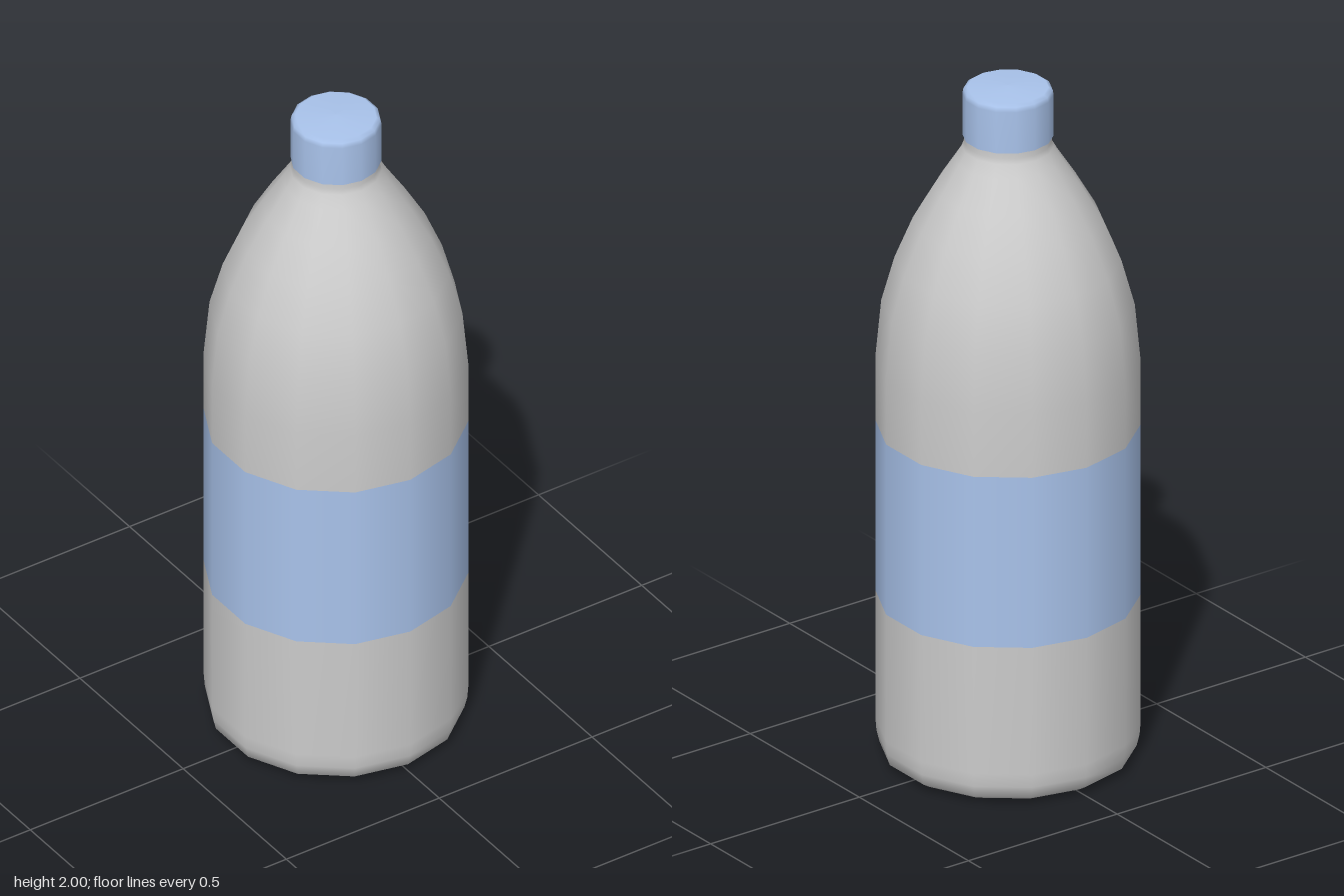
import * as THREE from 'three';

const SIDES = 14;

// Turn a [radius, height] profile (listed bottom to top) around the y axis
function turned(name, profile, material) {
  const points = profile.map(([r, y]) => new THREE.Vector2(r, y));
  const mesh = new THREE.Mesh(new THREE.LatheGeometry(points, SIDES), material);
  mesh.name = name;
  return mesh;
}

export function createModel() {
  const bottle = new THREE.Group();
  bottle.name = 'bottle';
  const grey = new THREE.MeshStandardMaterial({ color: 0xcccccc });
  const blue = new THREE.MeshStandardMaterial({ color: 0xa9c3eb });

  const R = 0.36; // body radius
  const neck = 0.12;
  const cap = 0.124;
  const labelBottom = 0.48, labelTop = 0.99;

  // Lower body with a softly rounded foot
  bottle.add(turned('lowerBody', [
    [0, 0.005], [0.2, 0.007], [0.325, 0.012], [0.349, 0.027],
    [0.357, 0.06], [R, 0.1], [R, labelBottom],
  ], grey));

  // Label band, flush with the body
  bottle.add(turned('label', [[R, labelBottom], [R, labelTop]], blue));

  // Upper body, shoulder and neck
  bottle.add(turned('shoulder', [
    [R, labelTop], [R, 1.18], [0.344, 1.35], [0.308, 1.48], [0.258, 1.6],
    [0.2, 1.7], [0.145, 1.785], [0.125, 1.82], [neck, 1.835], [neck, 1.86],
  ], grey));

  // Screw cap: underside lip, wall, rounded rim and top
  bottle.add(turned('capLip', [[neck - 0.005, 1.852], [cap, 1.852]], blue));
  bottle.add(turned('cap', [
    [cap, 1.852], [cap, 1.975], [0.121, 1.989], [0.11, 1.996], [0, 2],
  ], blue));

  return bottle;
}
